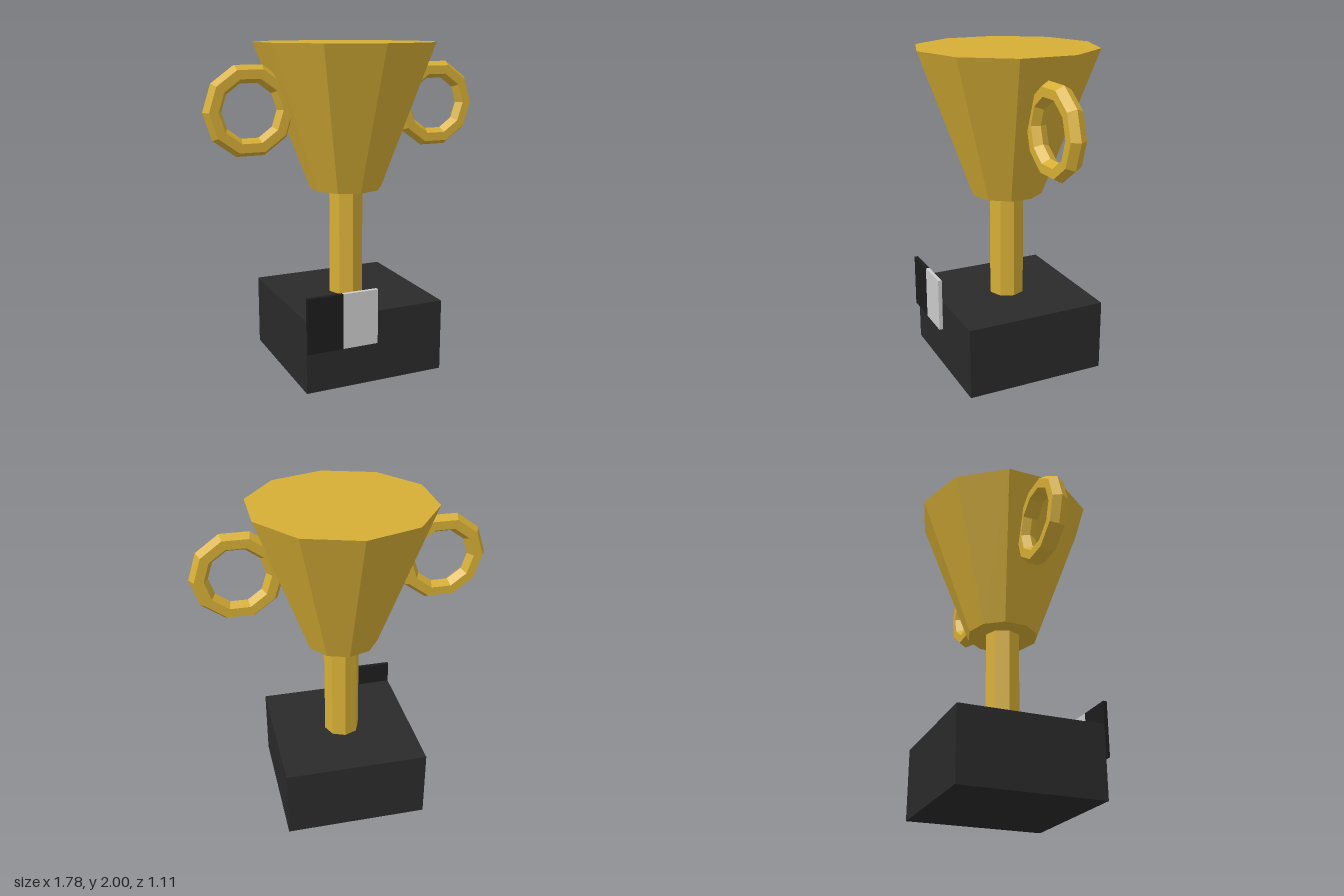
import * as THREE from 'three';

const U = 2 / 9; // design unit

export function createModel() {
  const model = new THREE.Group();
  model.name = 'trophy';

  const flat = (color) => new THREE.MeshStandardMaterial({ color, flatShading: true });
  const gold = flat(0xd6ae36);
  const black = flat(0x2a2a2a);
  const darker = flat(0x1d1d1d);
  const grey = flat(0xcccccc);

  const add = (name, geometry, material, x, y, z) => {
    const mesh = new THREE.Mesh(geometry, material);
    mesh.name = name;
    mesh.position.set(x, y, z);
    model.add(mesh);
  };

  // Square plinth
  add('base', new THREE.BoxGeometry(4 * U, 2 * U, 4 * U), black, 0, U, 0);

  // Eight-sided stem and ten-sided closed cup
  add('stem', new THREE.CylinderGeometry(0.5 * U, 0.5 * U, 3 * U, 8), gold, 0, 3.5 * U, 0);
  add('cup', new THREE.CylinderGeometry(2.5 * U, U, 4 * U, 10), gold, 0, 7 * U, 0);

  // Ring handles on both sides
  for (const side of [-1, 1]) {
    add(side > 0 ? 'leftHandle' : 'rightHandle',
      new THREE.TorusGeometry(U, 0.25 * U, 6, 10), gold, side * 2.75 * U, 7.25 * U, 0);
  }

  // Two-tone plaque, rising above the front edge of the plinth
  const plate = new THREE.BoxGeometry(U, 0.336, 0.024);
  add('plaqueDarkHalf', plate, darker, -1.5 * U, 0.419, 2 * U + 0.012);
  add('plaqueLightHalf', plate, grey, -0.5 * U, 0.419, 2 * U + 0.012);

  return model;
}
